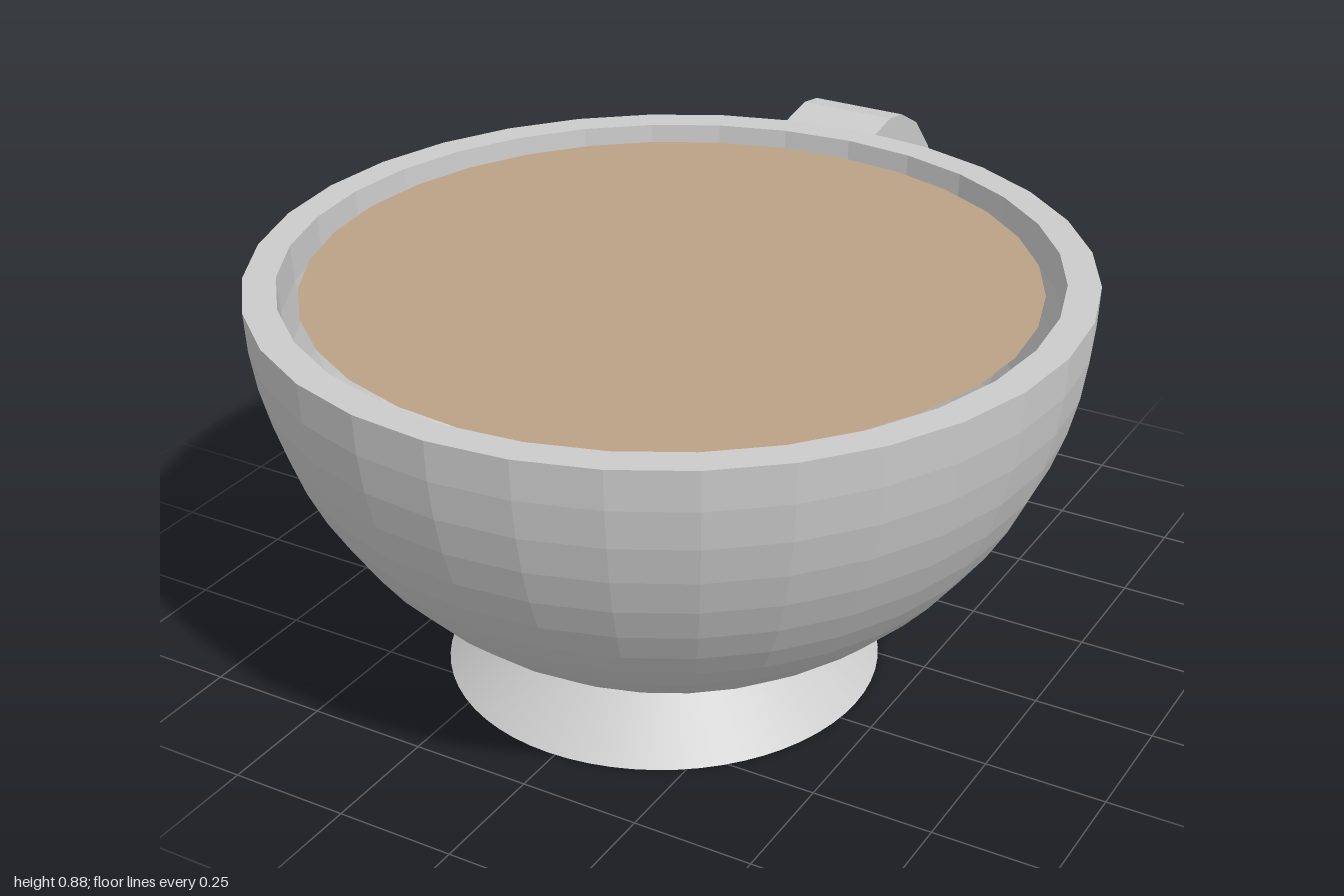
import * as THREE from 'three';

export function createModel() {
  const group = new THREE.Group();
  group.name = 'cup';
  const grey = new THREE.MeshStandardMaterial({ color: 0xcccccc });
  const faceted = new THREE.MeshStandardMaterial({ color: 0xcccccc, flatShading: true });
  const tan = new THREE.MeshStandardMaterial({ color: 0xbaa285, side: THREE.DoubleSide });

  const add = (name, geometry, material, x = 0, y = 0, z = 0) => {
    const mesh = new THREE.Mesh(geometry, material);
    mesh.name = name;
    mesh.position.set(x, y, z);
    group.add(mesh);
  };

  const rimY = 0.87, bowlZ = 0.17, bands = 16;

  // Half-sphere bowl with a flat rim: outer wall upward, then inner wall downward
  const profile = [];
  const arc = (radius, t) => new THREE.Vector2(
    radius * Math.sin(t * Math.PI / 2), -radius * Math.cos(t * Math.PI / 2));
  for (let i = 0; i <= bands; i++) profile.push(arc(0.83, i / bands));
  for (let i = bands; i >= 0; i--) profile.push(arc(0.765, i / bands));
  add('bowl', new THREE.LatheGeometry(profile, 32), faceted, 0, rimY, bowlZ);

  // Drink surface, a little smaller than the opening
  const surface = new THREE.CircleGeometry(0.725, 32);
  surface.rotateX(-Math.PI / 2);
  add('drink', surface, tan, 0, 0.845, bowlZ);

  // Flared foot, set slightly off the bowl's axis
  add('foot', new THREE.CylinderGeometry(0.305, 0.45, 0.125, 64), grey, -0.015, 0.0625, 0.19);

  // Flat-sided handle: outline in (z, y), outer edge down then inner edge back up
  const outline = [
    [-0.63, 0.86], [-0.66, 0.865], [-0.74, 0.88], [-0.80, 0.87], [-0.88, 0.825],
    [-0.95, 0.745], [-1.0, 0.655], [-1.0, 0.605], [-0.96, 0.48], [-0.88, 0.38],
    [-0.775, 0.305], [-0.61, 0.25], [-0.31, 0.21],
    [-0.39, 0.30], [-0.46, 0.31], [-0.60, 0.355], [-0.70, 0.395], [-0.765, 0.44],
    [-0.825, 0.51], [-0.855, 0.60], [-0.855, 0.67], [-0.81, 0.75], [-0.735, 0.80],
    [-0.66, 0.80], [-0.63, 0.80],
  ].map(([z, y]) => new THREE.Vector2(z, y));
  const handle = new THREE.ExtrudeGeometry(new THREE.Shape(outline), { depth: 0.215, bevelEnabled: false });
  handle.rotateY(-Math.PI / 2);
  add('handle', handle, faceted, 0.03);

  return group;
}
